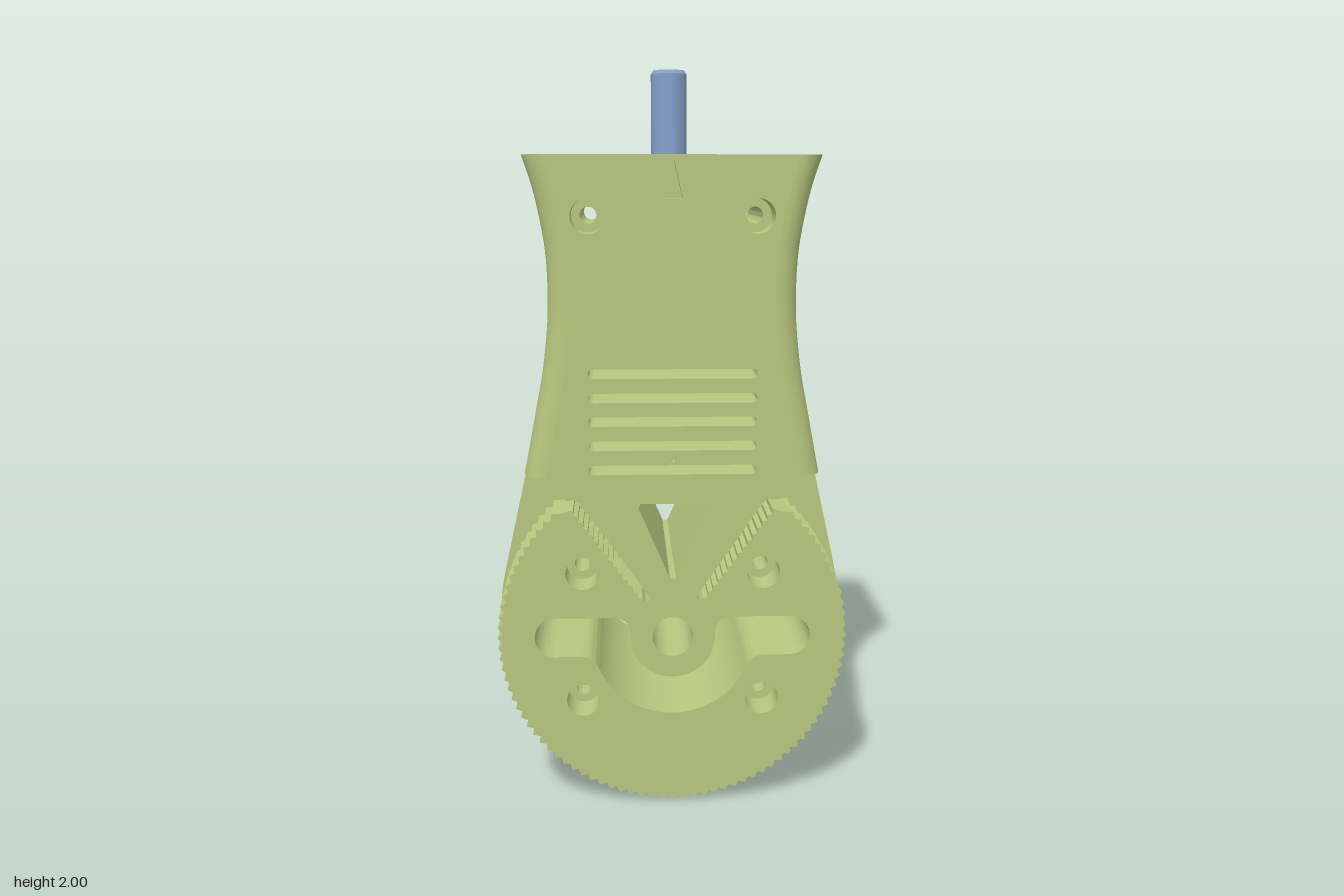
import * as THREE from 'three';
import { mergeGeometries, toCreasedNormals } from 'three/addons/utils/BufferGeometryUtils.js';

const TOP = 1.77, CY = 0.485, D = 0.31, STEP = 0.155, R = 0.06;
const green = new THREE.MeshStandardMaterial({ color: 0xb9c77f });
const blue = new THREE.MeshStandardMaterial({ color: 0x85a0cc });
const dark = new THREE.MeshStandardMaterial({ color: 0x555555 });

// Outline point [x, y, k] pulled inwards by d * k (sideways above the hub, radially below it)
function inset([x, y, k = 0], d) {
  const dy = Math.min(0, y - CY), l = Math.hypot(x, dy) || 1;
  return [x - (x / l) * d * k, y - (dy / l) * d * k];
}

// Wall through rings [z, inset] of a counter-clockwise outline; reversed outlines face inwards
function wall(pts, rings, skip = () => false) {
  const pos = [], n = pts.length;
  const at = (p, [z, d]) => [...inset(p, d), z];
  for (let i = 0; i < n; i++) {
    const p = pts[i], q = pts[(i + 1) % n];
    for (let j = 0; j + 1 < rings.length; j++) {
      if (skip(p, q, rings[j][0])) continue;
      const a = at(p, rings[j]), b = at(q, rings[j]), c = at(q, rings[j + 1]), d = at(p, rings[j + 1]);
      pos.push(...a, ...b, ...c, ...a, ...c, ...d);
    }
  }
  const g = new THREE.BufferGeometry();
  g.setAttribute('position', new THREE.Float32BufferAttribute(pos, 3));
  return toCreasedNormals(g, 0.5);
}

const vecs = (pts) => pts.map(([x, y]) => new THREE.Vector2(x, y));

// Flat face at height z, facing +z or -z
function cap(pts, holes, z, back = false) {
  const s = new THREE.Shape(vecs(pts));
  s.holes = holes.map((h) => new THREE.Path(vecs(h)));
  const g = new THREE.ShapeGeometry(s).toNonIndexed();
  g.deleteAttribute('uv');
  if (back) {
    const p = g.attributes.position;
    for (let i = 0; i < p.count; i += 3) {
      const x = p.getX(i), y = p.getY(i);
      p.setXY(i, p.getX(i + 1), p.getY(i + 1));
      p.setXY(i + 1, x, y);
    }
    g.computeVertexNormals();
  }
  return g.translate(0, 0, z);
}

const bore = (pts, z0, z1) => wall([...pts].reverse(), [[z0, 0], [z1, 0]]);
const ngon = (cx, cy, r, n = 28, ry = r) => Array.from({ length: n }, (_, i) => {
  const a = (i / n) * Math.PI * 2;
  return [cx + r * Math.cos(a), cy + ry * Math.sin(a)];
});

// Counter-clockwise points of a drawn path, without duplicates
function trace(path) {
  let p = path.getPoints(14);
  p = p.filter((v, i) => v.distanceTo(p[(i + 1) % p.length]) > 1e-4);
  if (THREE.ShapeUtils.isClockWise(p)) p.reverse();
  return p.map((v) => [v.x, v.y]);
}

function mirrored(half) {
  return [...half, ...half.filter((p) => p[0] > 1e-6).reverse().map(([x, y, k]) => [-x, y, k])];
}

function slotPoints(y) {
  const s = new THREE.Shape();
  s.absarc(0.21, y, 0.0125, -Math.PI / 2, Math.PI / 2);
  s.absarc(-0.21, y, 0.0125, Math.PI / 2, Math.PI * 1.5);
  return trace(s);
}

function smilePoints() {
  const s = new THREE.Shape(), h = Math.PI / 2;
  s.moveTo(-0.32, 0.54).lineTo(-0.165, 0.54).quadraticCurveTo(-0.115, 0.54, -0.115, CY);
  s.absarc(0, CY, 0.115, Math.PI, Math.PI * 2, false);
  s.quadraticCurveTo(0.115, 0.54, 0.165, 0.54).lineTo(0.32, 0.54);
  s.absarc(0.32, CY, 0.055, h, -h, true);
  s.lineTo(0.25, 0.43).quadraticCurveTo(0.215, 0.43, 0.198, 0.389);
  s.absarc(0, CY, 0.22, -0.45, -Math.PI + 0.45, true);
  s.quadraticCurveTo(-0.215, 0.43, -0.25, 0.43).lineTo(-0.32, 0.43);
  s.absarc(-0.32, CY, 0.055, -h, -3 * h, true);
  return trace(s);
}

export function createModel() {
  const model = new THREE.Group();
  const add = (name, geos, mat = green) => {
    const m = new THREE.Mesh(Array.isArray(geos) ? mergeGeometries(geos) : geos, mat);
    m.name = name;
    model.add(m);
  };

  // Side profile of the grip, from the hub up to the mounting face
  const profile = new THREE.SplineCurve(vecs([
    [0.48, CY], [0.474, 0.57], [0.461, 0.64], [0.43, 0.78], [0.397, 0.93], [0.364, 1.1], [0.342, 1.22],
    [0.328, 1.36], [0.33, 1.5], [0.344, 1.6], [0.364, 1.69], [0.39, TOP]]))
    .getPoints(44).map((v) => [v.x, v.y, 1]);
  const upper = profile.filter((p) => p[1] > 0.929);
  const lower = Array.from({ length: 32 }, (_, i) => {
    const a = -Math.PI / 2 + (i / 32) * (Math.PI / 2);
    return [0.48 * Math.cos(a), CY + 0.48 * Math.sin(a), 1];
  });
  lower[0][0] = 0;
  const bodyLine = mirrored([...lower, ...profile]);

  // Front half: toothed disc, slits beside the wedge, shoulders and grip
  const front = [];
  for (let k = 0; k <= 77; k++) {
    const a = ((-90 + 1.8 * k) * Math.PI) / 180, r = k % 2 ? 0.462 : 0.475;
    front.push([k ? r * Math.cos(a) : 0, CY + r * Math.sin(a)]);
  }
  for (let i = 0; i <= 28; i++) {
    const t = i / 28, o = i % 2 ? 0.004 : -0.004;
    front.push([0.27 - 0.185 * t + 0.8 * o, 0.838 - 0.248 * t - 0.6 * o]);
  }
  front.push([0.074, 0.58], [0.062, 0.595], [0.225, 0.835], [0.25, 0.868], [0.285, 0.868],
    [0.3, 0.878], [0.306, 0.9], [0.312, 0.92], [0.325, 0.93], ...upper);
  const frontLine = mirrored(front);

  // Rounded edge rings
  const arc = Array.from({ length: 8 }, (_, i) => {
    const a = (i / 7) * (Math.PI / 2);
    return [-D + R * (1 - Math.cos(a)), R * (1 - Math.sin(a))];
  });
  const frontArc = arc.map(([z, d]) => [-z, d]).reverse();

  // Openings that run from front to back
  const through = [
    ...[0.95, 1.015, 1.08, 1.143, 1.207].map(slotPoints),
    smilePoints(),
    ngon(0, CY, 0.055, 36),
    [[-0.008, 0.65], [0.008, 0.65], [0.092, 0.845], [0.086, 0.857], [-0.086, 0.857], [-0.092, 0.845]],
  ];
  const screws = [[0.22, 1.615], [0.245, 0.665], [0.245, 0.305]].flatMap(([x, y]) => [[x, y], [-x, y]]);
  const marks = [[[-0.025, 1.66], [0.025, 1.66], [0.003, 1.755], [-0.003, 1.755]], ngon(0, 0.982, 0.008, 12, 0.014)];
  const screwHoles = (r, n) => screws.map(([x, y]) => ngon(x, y, r, n));
  const insetLine = (line) => line.map((p) => inset(p, R));

  // Side window and open top are left out of the walls
  const isTop = (p, q) => p[1] > TOP - 1e-4 && q[1] > TOP - 1e-4;
  const inWindow = (p) => p[0] < 0 && p[1] > 0.929 && p[1] < 1.101;
  add('rearHousing', [
    wall(bodyLine, [...arc, [-0.13, 0], [0.14, 0], [STEP, 0]],
      (p, q, z) => isTop(p, q) || (z === -0.13 && inWindow(p) && inWindow(q))),
    cap(insetLine(bodyLine), [...through, ...marks, ...screwHoles(0.04, 6)], -D, true),
    cap(bodyLine, [...through, ...screwHoles(0.022)], STEP),
  ]);
  add('frontPlateWithToothedDisc', [
    wall(frontLine, [[STEP, 0], ...frontArc], isTop),
    cap(insetLine(frontLine), [...through, ...marks, ...screwHoles(0.045)], D),
  ]);
  add('throughOpenings', through.map((h) => bore(h, -D, D)));

  // Round screw heads at the front, hexagonal nut pockets at the back
  add('screwHoles', screws.flatMap(([x, y]) => {
    const head = ngon(x, y, 0.045), hole = ngon(x, y, 0.022), nut = ngon(x, y, 0.04, 6);
    return [bore(head, 0.21, D), cap(head, [hole], 0.21), bore(hole, -0.21, 0.21),
      cap(nut, [hole], -0.21, true), bore(nut, -D, -0.21)];
  }));
  add('markRecesses', marks.flatMap((m) => [
    bore(m, D - 0.03, D), cap(m, [], D - 0.03), bore(m, -D, -D + 0.03), cap(m, [], -D + 0.03, true)]));

  // Window pocket in the right side
  const pocket = [...bodyLine.filter(inWindow), [-0.25, 0.93], [-0.25, 1.1]];
  add('sideWindow', [bore(pocket, -0.13, 0.14), cap(pocket, [], -0.13), cap(pocket, [], 0.14, true)]);

  // Mounting face with four screw holes and the bearing seat
  const side = [...arc, ...frontArc].map(([z, d]) => [0.39 - d, z]);
  const topLine = [...side, ...side.map(([x, z]) => [-x, z]).reverse()];
  const mounts = [[0.2, 0.2], [-0.2, 0.2], [-0.2, -0.2], [0.2, -0.2]];
  const seat = ngon(0, 0, 0.142, 48), collar = ngon(0, 0, 0.055, 36);
  const topGeos = [
    cap(topLine, [seat, ...mounts.map(([x, z]) => ngon(x, z, 0.045))], TOP),
    bore(seat, 1.69, TOP), cap(seat, [collar], 1.69), bore(collar, 1.62, 1.69), cap(collar, [], 1.62),
    ...mounts.flatMap(([x, z]) => {
      const big = ngon(x, z, 0.045), small = ngon(x, z, 0.022);
      return [bore(big, 1.7, TOP), cap(big, [small], 1.7), bore(small, 1.67, 1.7), cap(small, [], 1.67)];
    }),
  ];
  add('mountingFace', mergeGeometries(topGeos).rotateX(-Math.PI / 2));

  // Bearing ring and output shaft
  const lathe = (pts, n) => toCreasedNormals(new THREE.LatheGeometry(vecs(pts), n), 0.5);
  add('bearingRing', lathe([[0.11, 1.69], [0.141, 1.69], [0.141, 1.765], [0.11, 1.765], [0.11, 1.69]], 48), dark);
  add('shaft', lathe([[0, 1.62], [0.049, 1.62], [0.049, 1.99], [0.042, 2], [0, 2]], 36), blue);
  return model;
}
